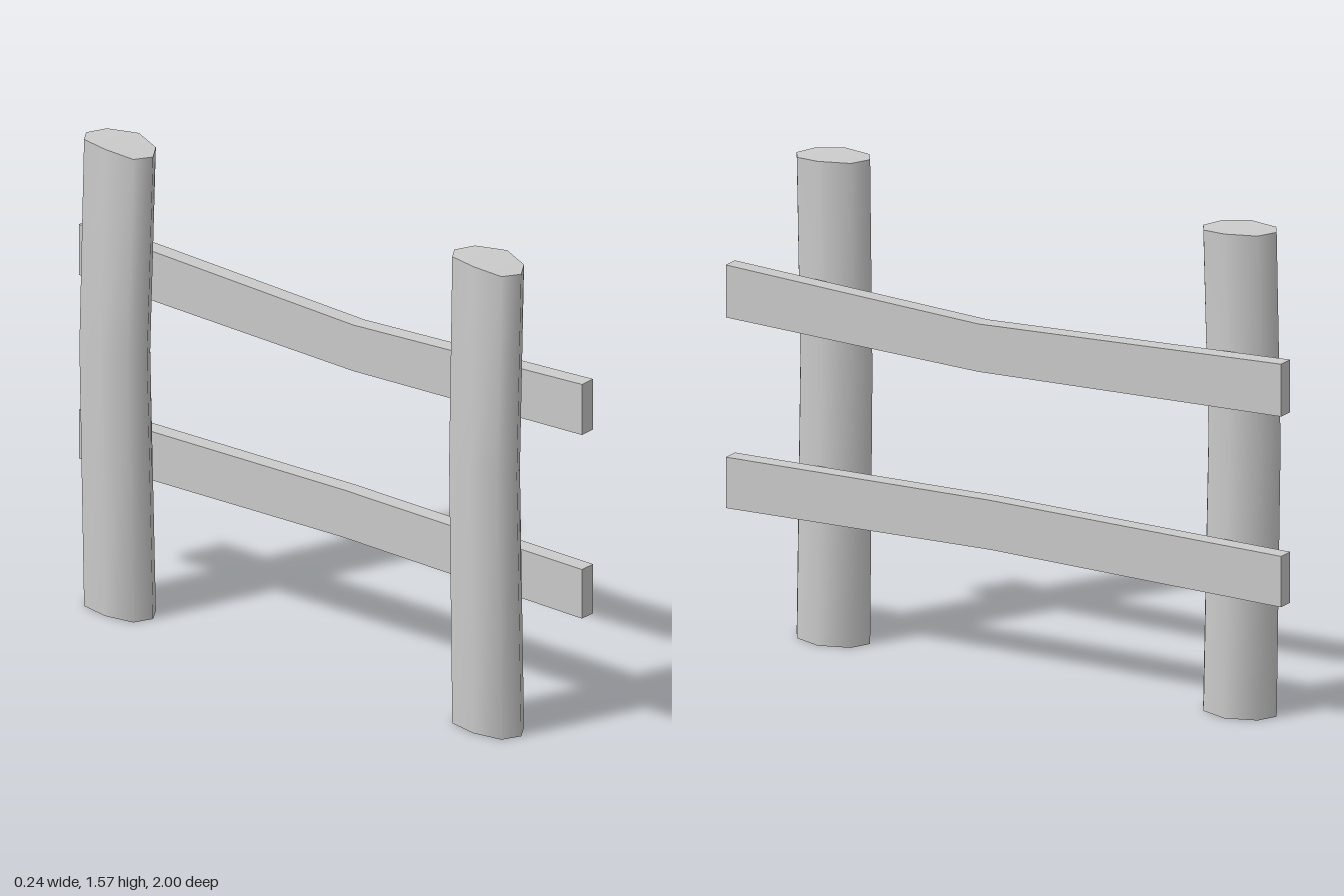
import * as THREE from 'three';
import { toCreasedNormals } from 'three/addons/utils/BufferGeometryUtils.js';

const material = new THREE.MeshStandardMaterial({ color: 0xcccccc });

// Hewn post outline as [x, z], starting on the rail side
const OUTLINE = [
  [0.066, 0], [0.032, 0.095], [-0.025, 0.13], [-0.085, 0.1],
  [-0.1, 0], [-0.08, -0.1], [-0.033, -0.13], [0.032, -0.1],
];
const HEIGHT = 1.57;

// Eight-sided post, bowed outward at mid height, with a slanted top
function createPost(name, z, bowZ) {
  const geometry = new THREE.CylinderGeometry(1, 1, 2, 8, 2);
  const pos = geometry.attributes.position;
  for (let i = 0; i < pos.count; i++) {
    const x = pos.getX(i), level = pos.getY(i), pz = pos.getZ(i);
    const side = (Math.round(Math.atan2(pz, x) / (Math.PI / 4)) + 8) % 8;
    const [ox, oz] = Math.hypot(x, pz) < 0.01 ? [-0.02, 0] : OUTLINE[side];
    const middle = Math.abs(level) < 0.01;
    const y = middle ? 0.88 : level < 0 ? 0 : HEIGHT - Math.max(0, oz) * 0.12;
    pos.setXYZ(i, ox - (middle ? 0.018 : 0), y, oz * (middle ? 0.98 : 1) + (middle ? bowZ : 0));
  }
  const mesh = new THREE.Mesh(toCreasedNormals(geometry, THREE.MathUtils.degToRad(66)), material);
  mesh.name = name;
  mesh.position.z = z;
  return mesh;
}

// Flat plank along z with a single bend
function createRail(name, endLow, endHigh, bendLow, bendHigh, bendZ) {
  const shape = new THREE.Shape([
    [-1, endLow], [bendZ, bendLow], [1, endLow],
    [1, endHigh], [bendZ, bendHigh], [-1, endHigh],
  ].map(([z, y]) => new THREE.Vector2(z, y)));
  const geometry = new THREE.ExtrudeGeometry(shape, { depth: 0.055, bevelEnabled: false });
  geometry.rotateY(-Math.PI / 2).translate(0.118, 0, 0);
  const mesh = new THREE.Mesh(geometry, material);
  mesh.name = name;
  return mesh;
}

export function createModel() {
  const fence = new THREE.Group();
  fence.name = 'fence';
  fence.add(
    createPost('frontPost', 0.7, 0),
    createPost('backPost', -0.764, -0.006),
    createRail('upperRail', 1.03, 1.2, 1.0, 1.155, 0.09),
    createRail('lowerRail', 0.412, 0.577, 0.43, 0.59, 0.05),
  );
  return fence;
}
